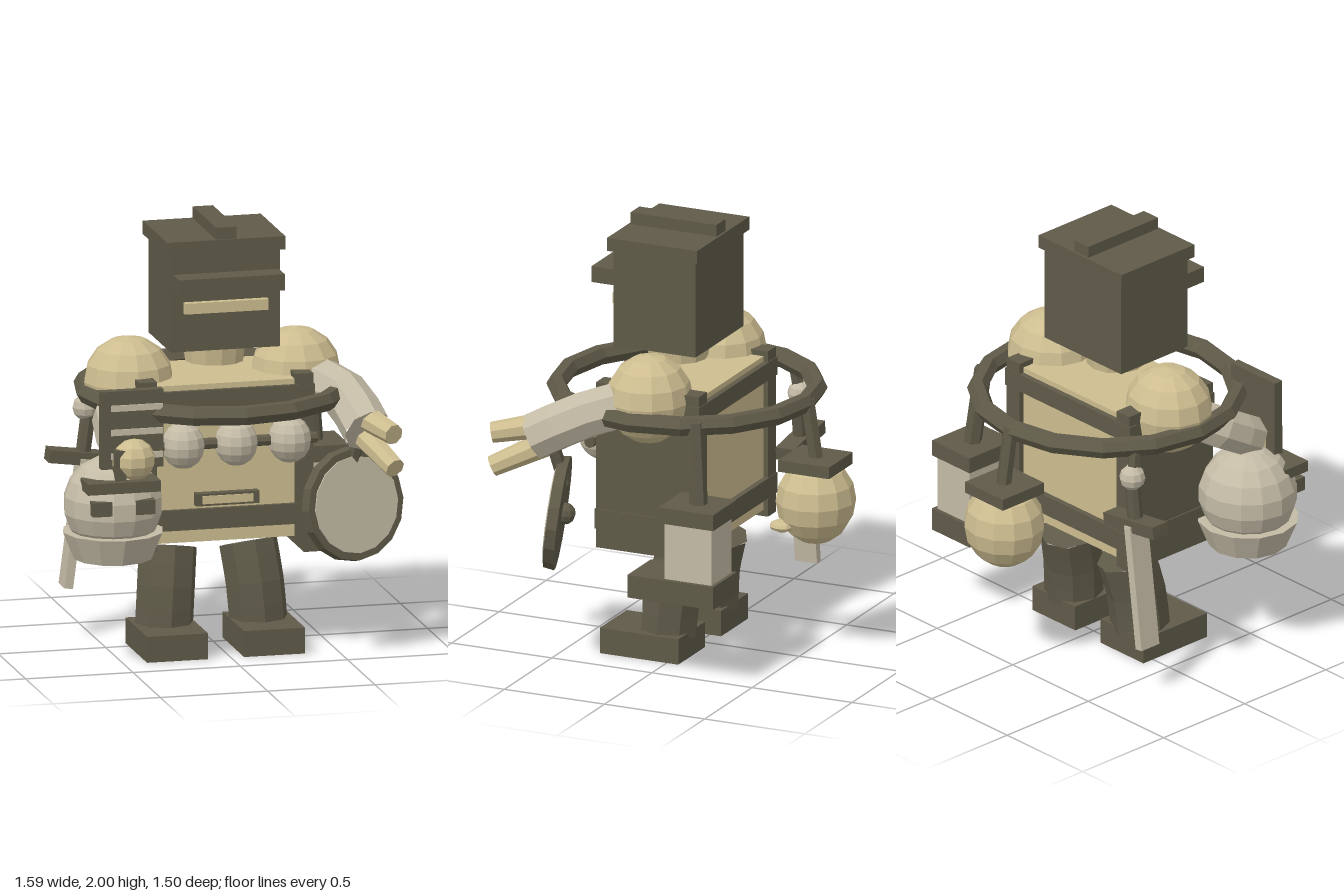
import * as THREE from 'three';

const mat = (name, color) => {
  const m = new THREE.MeshStandardMaterial({ color, flatShading: true });
  m.name = name;
  return m;
};

export function createModel() {
  const dark = mat('dark olive', 0x5f5a48);
  const tan = mat('tan', 0xcdbd90);
  const bone = mat('bone grey', 0xc4bba6);
  const model = new THREE.Group();
  model.name = 'armouredFigure';
  const V = (x, y, z) => new THREE.Vector3(x, y, z);

  const add = (name, geo, m, pos = [0, 0, 0], parent = model) => {
    const mesh = new THREE.Mesh(geo, m);
    mesh.name = name;
    mesh.position.set(...pos);
    parent.add(mesh);
    return mesh;
  };
  // Box given by its lower and upper limits on each axis
  const box = (name, m, [x0, x1], [y0, y1], [z0, z1], parent) =>
    add(name, new THREE.BoxGeometry(x1 - x0, y1 - y0, z1 - z0), m,
      [(x0 + x1) / 2, (y0 + y1) / 2, (z0 + z1) / 2], parent);
  const ball = (name, m, pos, rx, ry = rx, rz = rx, w = 12, h = 8) =>
    add(name, new THREE.SphereGeometry(1, w, h), m, pos).scale.set(rx, ry, rz);
  // Straight tapered rod from a to b
  const rod = (name, m, a, b, ra, rb = ra, sides = 8) => {
    const p = V(...a), q = V(...b), d = q.clone().sub(p);
    const mesh = add(name, new THREE.CylinderGeometry(rb, ra, d.length(), sides), m,
      p.clone().add(q).multiplyScalar(0.5).toArray());
    mesh.quaternion.setFromUnitVectors(V(0, 1, 0), d.normalize());
    return mesh;
  };
  // Bent limb with closed ends
  const limb = (name, m, pts, r) => {
    const curve = new THREE.CatmullRomCurve3(pts.map(p => V(...p)));
    add(name, new THREE.TubeGeometry(curve, 4, r, 8), m);
    [0, 1].forEach(t => {
      const cap = add(name + 'End', new THREE.CircleGeometry(r, 8), m, curve.getPoint(t).toArray());
      cap.quaternion.setFromUnitVectors(V(0, 0, 1), curve.getTangent(t).multiplyScalar(t ? 1 : -1));
    });
  };
  const cx = -0.024; // middle line of the body

  // Head
  box('head', dark, [-0.278, 0.23], [1.43, 1.883], [-0.09, 0.32]);
  box('headLid', dark, [-0.3, 0.25], [1.883, 1.945], [-0.108, 0.342]);
  box('headRidge', dark, [-0.07, 0.024], [1.945, 2], [-0.097, 0.332]);
  box('visor', dark, [-0.267, 0.225], [1.715, 1.79], [0.3, 0.432]);
  box('mouth', tan, [-0.22, 0.17], [1.61, 1.66], [0.3, 0.352]);
  add('neck', new THREE.CylinderGeometry(0.148, 0.135, 0.1, 12), tan, [cx, 1.388, 0.115]);

  // Torso: tan chest between side panels, with bands around it
  box('chest', tan, [-0.35, 0.305], [0.545, 1.275], [-0.157, 0.318]);
  box('sidePanelRight', dark, [-0.43, -0.345], [0.515, 1.3], [-0.18, 0.334]);
  box('sidePanelLeft', dark, [0.298, 0.383], [0.515, 1.3], [-0.18, 0.334]);
  box('lowerBand', dark, [-0.437, 0.39], [0.605, 0.7], [-0.184, 0.338]);
  box('upperBandFront', dark, [-0.437, 0.39], [1.165, 1.25], [0.3, 0.338]);
  box('upperBandBack', dark, [-0.437, 0.39], [1.165, 1.25], [-0.184, -0.14]);
  box('slotFrame', dark, [-0.17, 0.125], [0.718, 0.775], [0.3, 0.36]);
  box('slot', tan, [-0.14, 0.095], [0.728, 0.765], [0.359, 0.366]);

  // Row of beads on a rod across the chest
  rod('beadRod', dark, [-0.37, 1.01, 0.365], [0.39, 1.01, 0.365], 0.026);
  [-0.232, 0.015, 0.264].forEach(x => ball('bead', bone, [x, 1.008, 0.365], 0.1, 0.108, 0.1));

  // Shoulders, legs and feet
  [-1, 1].forEach(s => {
    ball('shoulder', tan, [cx + s * 0.389, 1.255, 0.077], 0.207, 0.205, 0.197);
    limb('leg', dark, [[cx + s * 0.22, 0.1, 0.06], [cx + s * 0.207, 0.28, 0.045], [cx + s * 0.187, 0.455, 0]], 0.135);
    box('foot', dark, [cx + s * 0.226 - 0.142, cx + s * 0.226 + 0.142], [0, 0.12], [-0.058, 0.334]);
  });

  // Hoop around the body
  const hoop = add('hoop', new THREE.TorusGeometry(0.59, 0.046, 6, 16), dark, [-0.018, 1.202, 0.07]);
  hoop.rotation.set(Math.PI / 2, 0, 0);

  // Round pot hanging behind
  rod('potHanger', dark, [-0.02, 1.22, -0.53], [-0.02, 0.94, -0.575], 0.035, 0.035, 6);
  box('potLid', dark, [-0.147, 0.103], [0.9, 0.955], [-0.697, -0.443]);
  ball('pot', tan, [-0.022, 0.748, -0.572], 0.19, 0.202, 0.181);
  ball('potSpout', tan, [0.11, 0.65, -0.467], 0.06, 0.027, 0.06, 8, 6);

  // Lantern hanging at the left
  rod('lanternHanger', dark, [0.5, 1.22, -0.215], [0.535, 0.84, -0.25], 0.042, 0.042, 6);
  box('lanternCap', dark, [0.412, 0.662], [0.775, 0.85], [-0.382, -0.108]);
  box('lanternGlass', bone, [0.432, 0.642], [0.5, 0.78], [-0.365, -0.13]);
  box('lanternBase', dark, [0.412, 0.662], [0.4, 0.507], [-0.382, 0.046]);

  // Sword hanging at the right
  const sword = new THREE.Group();
  sword.name = 'sword';
  sword.position.set(-0.545, 0.83, -0.248);
  sword.rotation.z = -0.13;
  model.add(sword);
  box('blade', bone, [-0.02, 0.02], [-0.6, 0], [-0.055, 0.055], sword);
  box('guard', dark, [-0.165, 0.165], [-0.03, 0.03], [-0.046, 0.046], sword);
  add('grip', new THREE.CylinderGeometry(0.035, 0.035, 0.2, 8), dark, [0, 0.12, 0], sword);
  ball('pommel', bone, [-0.53, 1.06, -0.255], 0.06, 0.06, 0.06, 10, 6);
  rod('swordHanger', dark, [-0.52, 1.2, -0.23], [-0.53, 1.06, -0.25], 0.03, 0.03, 6);

  // Right arm gripping a board
  limb('rightArm', bone, [[-0.43, 1.22, 0.12], [-0.54, 1.12, 0.3], [-0.53, 1.02, 0.47]], 0.1);
  ball('rightFist', tan, [-0.51, 1, 0.535], 0.105, 0.1, 0.105, 10, 7);
  box('board', dark, [-0.66, -0.37], [0.96, 1.32], [0.502, 0.548]);
  [1.242, 1.13, 1.02].forEach(y =>
    box('boardStripe', bone, [-0.615, -0.375], [y - 0.014, y + 0.014], [0.547, 0.556]));
  box('boardGrip', dark, [-0.605, -0.555], [0.9, 1.055], [0.53, 0.6]);

  // Skull carried at the right hip
  ball('skull', bone, [-0.573, 0.772, 0.418], 0.228, 0.225, 0.225, 14, 9);
  box('skullBrow', dark, [-0.742, -0.403], [0.865, 0.916], [0.49, 0.632]);
  box('skullEyeRight', dark, [-0.72, -0.63], [0.762, 0.828], [0.54, 0.632]);
  box('skullEyeLeft', dark, [-0.52, -0.428], [0.762, 0.828], [0.54, 0.632]);
  add('skullJaw', new THREE.CylinderGeometry(0.232, 0.18, 0.126, 12), bone, [-0.573, 0.585, 0.418]);

  // Left arm with two fingers
  limb('leftArm', bone, [[0.38, 1.25, 0.1], [0.53, 1.19, 0.32], [0.58, 1.07, 0.55]], 0.112);
  rod('upperFinger', tan, [0.57, 1.13, 0.5], [0.658, 1.088, 0.725], 0.06, 0.048);
  rod('lowerFinger', tan, [0.575, 1.04, 0.5], [0.665, 0.93, 0.72], 0.06, 0.048);

  // Round shield below the left hand
  const shield = new THREE.Group();
  shield.name = 'shield';
  shield.position.set(0.537, 0.71, 0.455);
  shield.rotation.set(-0.12, 0.33, 0, 'YXZ');
  model.add(shield);
  const disc = (name, m, r0, r1, h, z) => {
    add(name, new THREE.CylinderGeometry(r1, r0, h, 16), m, [0, 0, z], shield).rotation.x = Math.PI / 2;
  };
  disc('shieldRim', dark, 0.262, 0.255, 0.05, 0);
  disc('shieldFace', bone, 0.222, 0.222, 0.008, 0.028);
  add('shieldBoss', new THREE.SphereGeometry(0.05, 10, 6), dark, [0, 0, -0.035], shield);
  rod('shieldStrap', dark, [0.57, 1.04, 0.46], [0.53, 0.85, 0.42], 0.03, 0.03, 6);

  return model;
}
